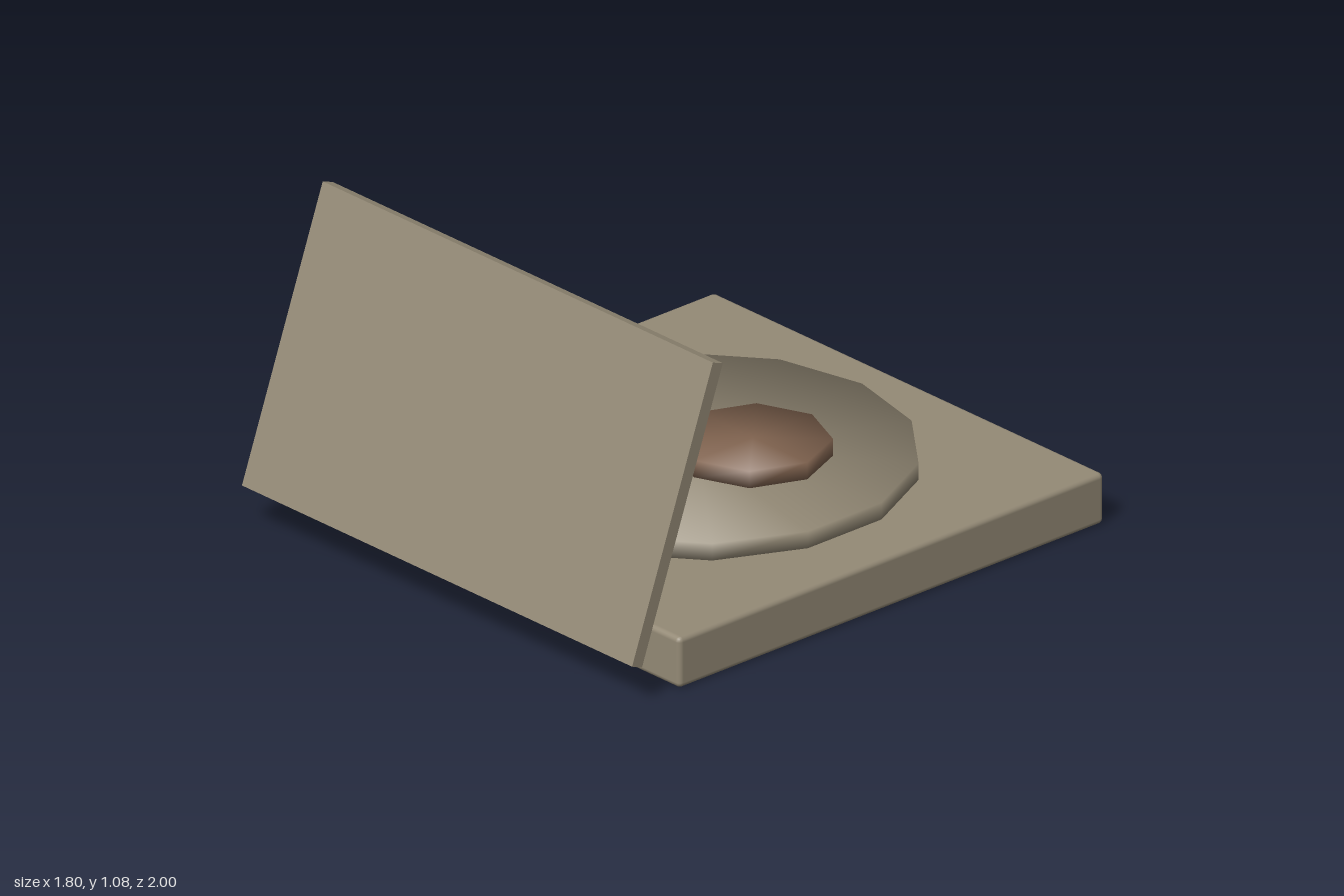
import * as THREE from 'three';
import { RoundedBoxGeometry } from 'three/addons/geometries/RoundedBoxGeometry.js';

// Low-poly disc whose rim is shaded softly from cap to side
function softDisc(radius, height, sides) {
  const geometry = new THREE.CylinderGeometry(radius, radius, height, sides);
  const { position, normal } = geometry.attributes;
  const n = new THREE.Vector3();
  for (let i = 0; i < position.count; i++) {
    n.set(position.getX(i) / radius, Math.sign(position.getY(i)), position.getZ(i) / radius).normalize();
    normal.setXYZ(i, n.x, n.y, n.z);
  }
  return geometry;
}

export function createModel() {
  const model = new THREE.Group();
  model.name = 'openCase';

  const taupe = new THREE.MeshStandardMaterial({ color: 0x948a76 });
  taupe.name = 'taupe';
  const brown = new THREE.MeshStandardMaterial({ color: 0x80634f });
  brown.name = 'brown';

  function add(name, geometry, material, x, y, z) {
    const mesh = new THREE.Mesh(geometry, material);
    mesh.name = name;
    mesh.position.set(x, y, z);
    model.add(mesh);
    return mesh;
  }

  // Base slab with softened edges
  add('base', new RoundedBoxGeometry(1.8, 0.175, 1.8, 2, 0.018), taupe, 0, 0.0875, -0.1);

  // Wide disc, and the small off-centre disc on top of it
  add('largeDisc', softDisc(0.7, 0.06, 14), taupe, 0, 0.203, -0.1);
  add('smallDisc', softDisc(0.25, 0.06, 8), brown, 0.15, 0.261, -0.2);

  // Lid panel leaning back over the base
  const lid = add('lid', new THREE.BoxGeometry(1.8, 1, 0.045), taupe, 0, 0.605, 0.808);
  lid.rotation.x = -THREE.MathUtils.degToRad(20);

  return model;
}
